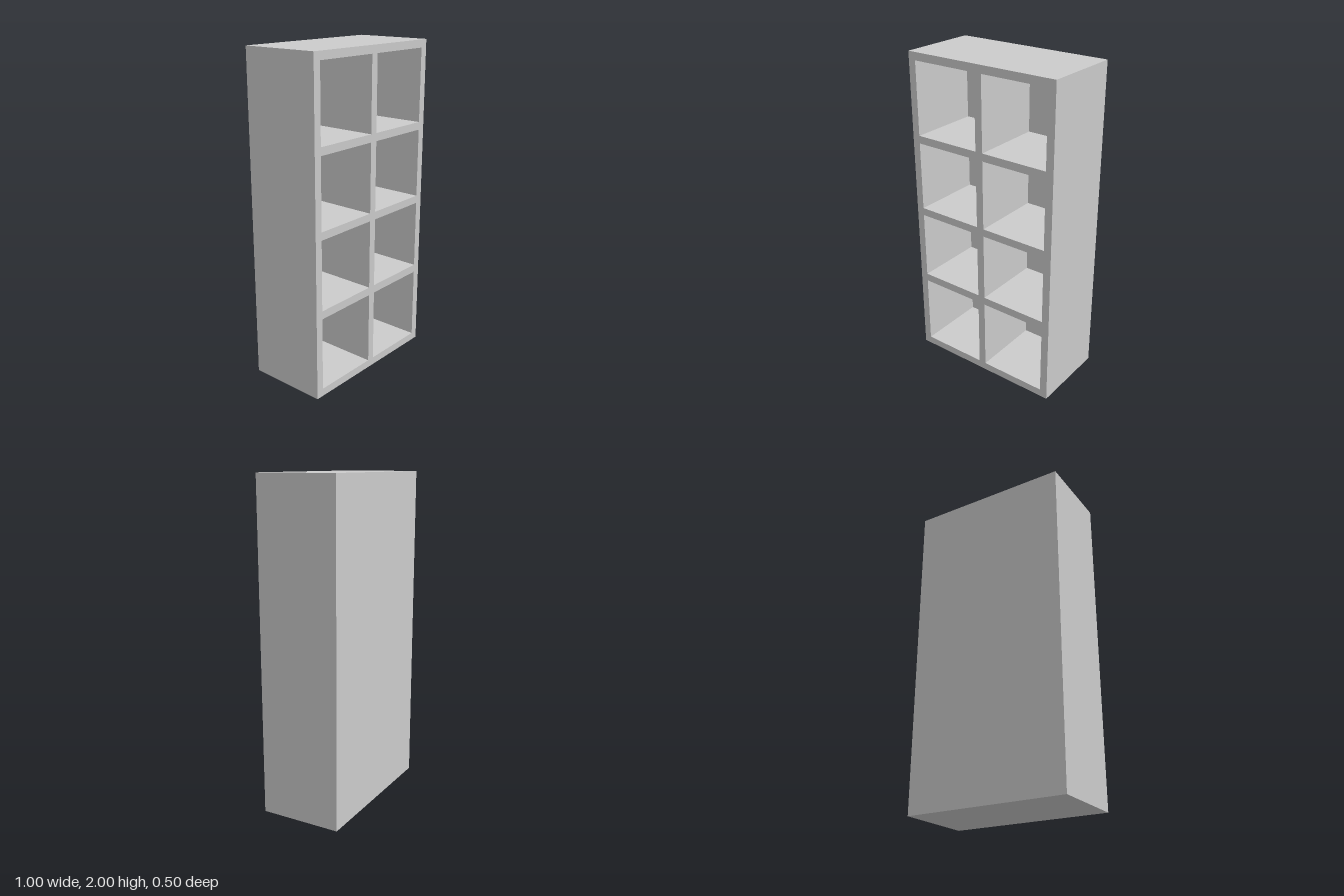
import * as THREE from 'three';

const WIDTH = 1, HEIGHT = 2, DEPTH = 0.5, BOARD = 0.048;

function rect(target, x0, y0, x1, y1) {
  target.moveTo(x0, y0);
  target.lineTo(x1, y0);
  target.lineTo(x1, y1);
  target.lineTo(x0, y1);
  target.closePath();
  return target;
}

export function createModel() {
  const group = new THREE.Group();
  group.name = 'cubbyShelf';
  const material = new THREE.MeshStandardMaterial({ color: 0xcccccc, flatShading: true });

  // Frame, divider and shelves in one piece, pierced by two columns of four cubbies
  const columns = [[-WIDTH / 2 + BOARD, -BOARD / 2], [BOARD / 2, WIDTH / 2 - BOARD]];
  const rows = [[BOARD, 0.5], [0.55, 0.978], [1.026, 1.454], [1.502, HEIGHT - BOARD]];
  const outline = rect(new THREE.Shape(), -WIDTH / 2, 0, WIDTH / 2, HEIGHT);
  for (const [x0, x1] of columns) {
    for (const [y0, y1] of rows) {
      outline.holes.push(rect(new THREE.Path(), x0, y0, x1, y1));
    }
  }
  const frame = new THREE.Mesh(
    new THREE.ExtrudeGeometry(outline, { depth: DEPTH - BOARD, bevelEnabled: false }),
    material
  );
  frame.name = 'frameAndShelves';
  frame.position.z = -DEPTH / 2 + BOARD;
  group.add(frame);

  // Solid back closing the cubbies
  const back = new THREE.Mesh(new THREE.BoxGeometry(WIDTH, HEIGHT, BOARD), material);
  back.name = 'backPanel';
  back.position.set(0, HEIGHT / 2, -DEPTH / 2 + BOARD / 2);
  group.add(back);

  return group;
}
